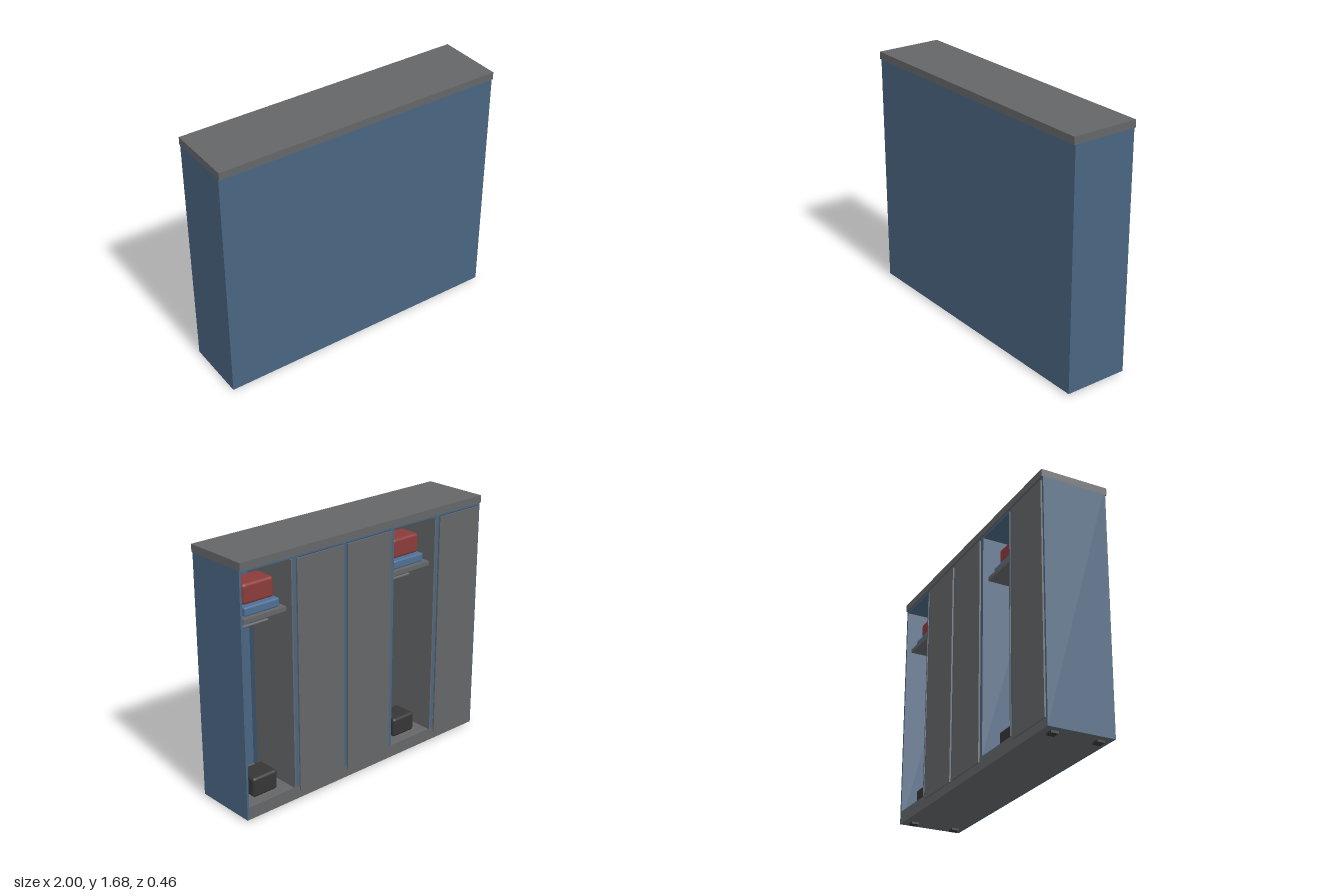
import * as THREE from 'three';
import { RoundedBoxGeometry } from 'three/addons/geometries/RoundedBoxGeometry.js';

const material = (name, color) => {
  const m = new THREE.MeshStandardMaterial({ color });
  m.name = name;
  return m;
};

export function createModel() {
  const blue = material('cabinet blue', 0x4a6582);
  const grey = material('steel grey', 0x636668);
  const cloth = material('cloth blue', 0x4d6f94);
  const red = material('bag red', 0x8b3a3a);
  const dark = material('dark grey', 0x363636);

  const root = new THREE.Group();
  root.name = 'lockerUnit';

  // Box given by its limits on each axis; a radius rounds its edges
  function block(parent, name, mat, [x0, x1], [y0, y1], [z0, z1], radius = 0) {
    const w = x1 - x0, h = y1 - y0, d = z1 - z0;
    const geo = radius
      ? new RoundedBoxGeometry(w, h, d, 3, radius)
      : new THREE.BoxGeometry(w, h, d);
    const mesh = new THREE.Mesh(geo, mat);
    mesh.name = name;
    mesh.position.set((x0 + x1) / 2, (y0 + y1) / 2, (z0 + z1) / 2);
    parent.add(mesh);
    return mesh;
  }

  // Carcass: the doors open towards -z
  block(root, 'base', grey, [-0.998, 0.998], [0.015, 0.1], [-0.22, 0.218]);
  block(root, 'backPanel', blue, [-1, 1], [0.015, 1.63], [0.205, 0.22]);
  block(root, 'ceiling', blue, [-0.985, 0.985], [1.615, 1.63], [-0.218, 0.205]);
  block(root, 'roof', grey, [-1, 1], [1.63, 1.68], [-0.23, 0.23]);
  for (const s of [-1, 1]) {
    const xs = s > 0 ? [0.985, 1] : [-1, -0.985];
    block(root, 'sidePanel', blue, xs, [0.015, 1.63], [-0.22, 0.205]);
  }
  for (const x of [-0.6, -0.2, 0.2, 0.6]) {
    block(root, 'divider', blue, [x - 0.015, x + 0.015], [0.1, 1.63], [-0.22, 0.205]);
  }

  // Feet
  for (const x of [-0.93, 0.93]) {
    for (const z of [-0.15, 0.15]) {
      block(root, 'foot', dark, [x - 0.027, x + 0.027], [0, 0.015], [z - 0.025, z + 0.025]);
    }
  }

  // Lockers: closed ones get a door, open ones show their contents
  const doorY = [0.07, 1.61];
  const lockers = [[0.8, true], [0.4, false], [0, false], [-0.4, true], [-0.8, false]];
  for (const [x, open] of lockers) {
    const locker = new THREE.Group();
    locker.name = open ? 'openLocker' : 'closedLocker';
    locker.position.x = x;
    root.add(locker);

    if (!open) {
      block(locker, 'door', grey, [-0.183, 0.183], doorY, [-0.23, -0.219]);
      continue;
    }

    // Door swung inwards against the divider
    block(locker, 'foldedDoor', grey, [-0.185, -0.175], [0.1, 1.61], [-0.225, 0.15]);

    // Shelf and hanging rail
    block(locker, 'shelf', grey, [-0.16, 0.16], [1.29, 1.317], [-0.195, 0.06]);
    const rail = new THREE.Mesh(new THREE.CylinderGeometry(0.01, 0.01, 0.32, 16), grey);
    rail.name = 'rail';
    rail.rotation.z = Math.PI / 2;
    rail.position.set(0, 1.18, -0.01);
    locker.add(rail);

    // Stored things
    block(locker, 'foldedCloth', cloth, [-0.13, 0.13], [1.317, 1.375], [-0.17, 0.04], 0.012);
    block(locker, 'bag', red, [-0.115, 0.115], [1.375, 1.505], [-0.14, 0.02], 0.02);
    block(locker, 'storageBox', dark, [-0.095, 0.095], [0.1, 0.235], [-0.155, 0.01], 0.02);
  }

  return root;
}
